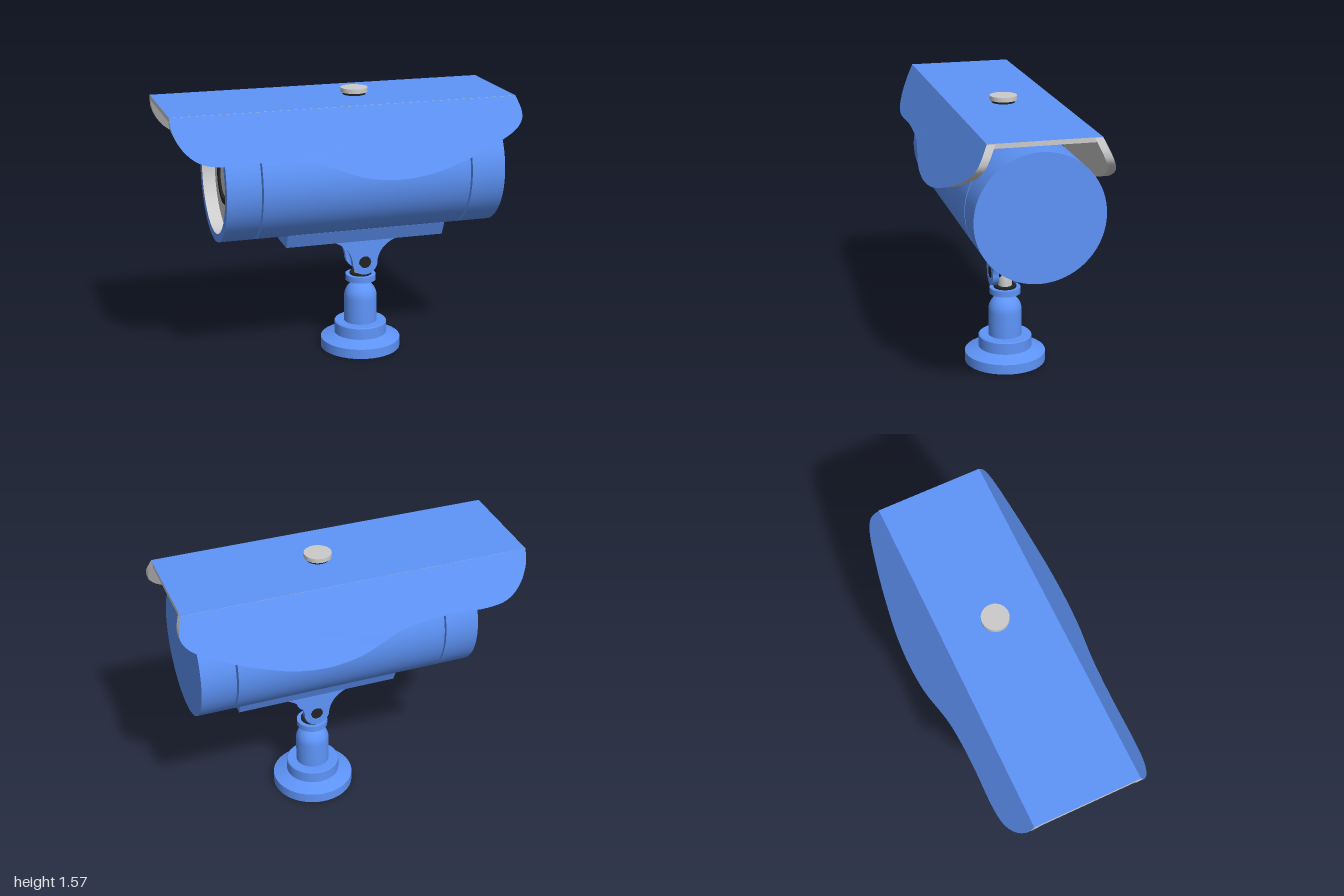
import * as THREE from 'three';
import { toCreasedNormals } from 'three/addons/utils/BufferGeometryUtils.js';

const material = (color) => new THREE.MeshStandardMaterial({ color });
const blue = material(0x5e94f8);
const grey = material(0xcccccc);
const black = material(0x222222);

const AXIS_Y = 1.095; // height of the housing axis
const MOUNT_X = 0.16; // position of the stand
const R = 0.357; // housing radius

function add(parent, name, geometry, mat) {
  const mesh = new THREE.Mesh(geometry, mat);
  mesh.name = name;
  parent.add(mesh);
  return mesh;
}

// Turned part: [radius, height] pairs from the bottom up
function turned(parent, name, points, mat, segments = 64) {
  const profile = points.map(([r, y]) => new THREE.Vector2(r, y));
  const geometry = toCreasedNormals(new THREE.LatheGeometry(profile, segments), 0.6);
  return add(parent, name, geometry, mat);
}

const disc = (r, y0, y1) => [[0, y0], [r, y0], [r, y1], [0, y1]];

// Housing: turned about y, then laid down so +y points to -x (lens end)
function housing() {
  const group = new THREE.Group();
  group.name = 'housing';
  turned(group, 'rearCap', disc(R, -0.905, -0.708), blue, 96);
  turned(group, 'barrel', disc(R, -0.697, 0.506), blue, 96);
  turned(group, 'frontRing', [[0, 0.516], [R, 0.516], [R, 0.71], [0.31, 0.71]], blue, 96);
  turned(group, 'lensRecess', [[0.31, 0.71], [0.31, 0.635], [0, 0.635]], grey, 96);
  turned(group, 'lensRing', [[0.15, 0.635], [0.15, 0.655], [0.12, 0.655], [0.12, 0.635]], black);
  turned(group, 'lensGlass', [[0.12, 0.638], [0.105, 0.645], [0, 0.645]], grey);
  group.rotation.z = Math.PI / 2;
  group.position.y = AXIS_Y;
  return group;
}

// Sun hood: flat top with two sloping, wavy-edged flaps
function hood() {
  const group = new THREE.Group();
  group.name = 'sunHood';
  const TOP = 1.53, HALF = 0.303, THICK = 0.045, SLOPE = 0.465;

  const plate = add(group, 'hoodTop', new THREE.BoxGeometry(1.976, 0.026, HALF * 2),
    [grey, grey, blue, grey, grey, grey]);
  plate.position.set(-0.012, TOP - 0.012, 0);

  const edge = [[-0.99, 1.45], [-0.94, 1.358], [-0.855, 1.294], [-0.73, 1.273], [-0.51, 1.278],
    [-0.35, 1.27], [-0.2, 1.246], [0, 1.176], [0.12, 1.152], [0.24, 1.144], [0.37, 1.153],
    [0.49, 1.176], [0.7, 1.24], [0.91, 1.33], [0.985, 1.39], [1, 1.45], [0.975, TOP]];
  const shape = new THREE.Shape();
  shape.moveTo(-1, TOP);
  shape.splineThru(edge.map(([x, y]) => new THREE.Vector2(x, y)));
  shape.closePath();

  for (const side of [1, -1]) {
    const geometry = new THREE.ExtrudeGeometry(shape, { depth: THICK, bevelEnabled: false, curveSegments: 64 });
    // Lean the flap outwards as it goes down
    const p = geometry.attributes.position;
    for (let i = 0; i < p.count; i++) {
      const lean = side * (HALF + (TOP - p.getY(i)) * SLOPE);
      p.setZ(i, p.getZ(i) + lean - (side > 0 ? THICK : 0));
    }
    // Outer face blue, inner face and rim grey
    const caps = geometry.groups[0].count;
    geometry.clearGroups();
    geometry.addGroup(0, caps / 2, side > 0 ? 0 : 1);
    geometry.addGroup(caps / 2, caps / 2, side > 0 ? 1 : 0);
    geometry.addGroup(caps, p.count - caps, 0);
    add(group, side > 0 ? 'frontFlap' : 'backFlap', toCreasedNormals(geometry, 0.5), [grey, blue]);
  }

  // Clamping screw on top
  const screw = new THREE.Group();
  screw.name = 'hoodScrew';
  turned(screw, 'screwWasher', disc(0.065, 1.525, 1.546), black, 48);
  turned(screw, 'screwHead', disc(0.077, 1.545, 1.57), grey, 48);
  screw.position.x = 0.115;
  group.add(screw);
  return group;
}

// Saddle under the housing with two pivot ears
function bracket() {
  const group = new THREE.Group();
  group.name = 'bracket';

  const section = new THREE.Shape([[-0.095, 0.68], [0.095, 0.68], [0.133, 0.763], [-0.133, 0.763]]
    .map(([x, y]) => new THREE.Vector2(x, y)));
  const saddle = new THREE.ExtrudeGeometry(section, { depth: 0.945, bevelEnabled: false });
  saddle.rotateY(Math.PI / 2);
  saddle.translate(-0.315, 0, 0);
  add(group, 'saddle', saddle, blue);

  const ear = new THREE.Shape();
  ear.moveTo(0.2, 0.685);
  ear.quadraticCurveTo(0.09, 0.65, 0.074, 0.55);
  ear.absarc(0, 0.545, 0.075, 0, -Math.PI, true);
  ear.quadraticCurveTo(-0.09, 0.65, -0.2, 0.685);
  ear.closePath();
  const hole = new THREE.Path();
  hole.absarc(0, 0.545, 0.037, 0, Math.PI * 2, false);
  ear.holes.push(hole);

  for (const side of [1, -1]) {
    const geometry = new THREE.ExtrudeGeometry(ear, { depth: 0.036, bevelEnabled: false, curveSegments: 24 });
    geometry.translate(MOUNT_X, 0, side * 0.072 - 0.018);
    add(group, 'pivotEar', toCreasedNormals(geometry, 0.6), blue);
  }

  const bolt = add(group, 'pivotBolt', new THREE.CylinderGeometry(0.034, 0.034, 0.18, 32), black);
  bolt.rotation.x = Math.PI / 2;
  bolt.position.set(MOUNT_X, 0.545, 0);
  return group;
}

// Round foot, domed column, collar and pivot post
function stand() {
  const group = new THREE.Group();
  group.name = 'stand';
  const dome = [];
  for (let i = 0; i <= 8; i++) {
    const a = (i / 8) * 1.2;
    dome.push([0.097 * Math.cos(a), 0.31 + 0.1 * Math.sin(a)]);
  }
  turned(group, 'foot', [[0, 0], [0.235, 0], [0.235, 0.058], [0.155, 0.088], [0.155, 0.154],
    [0.15, 0.16], [0.097, 0.16], ...dome, [0, 0.403]], blue);
  turned(group, 'neck', disc(0.036, 0.39, 0.42), grey, 32);
  turned(group, 'collar', disc(0.09, 0.415, 0.45), blue, 48);
  turned(group, 'collarWasher', disc(0.065, 0.45, 0.461), black, 48);
  turned(group, 'pivotPost', [[0, 0.46], [0.04, 0.46], [0.04, 0.53], [0.028, 0.575], [0, 0.575]], grey, 32);
  group.position.x = MOUNT_X;
  return group;
}

export function createModel() {
  const model = new THREE.Group();
  model.name = 'securityCamera';
  model.add(housing(), hood(), bracket(), stand());
  return model;
}
